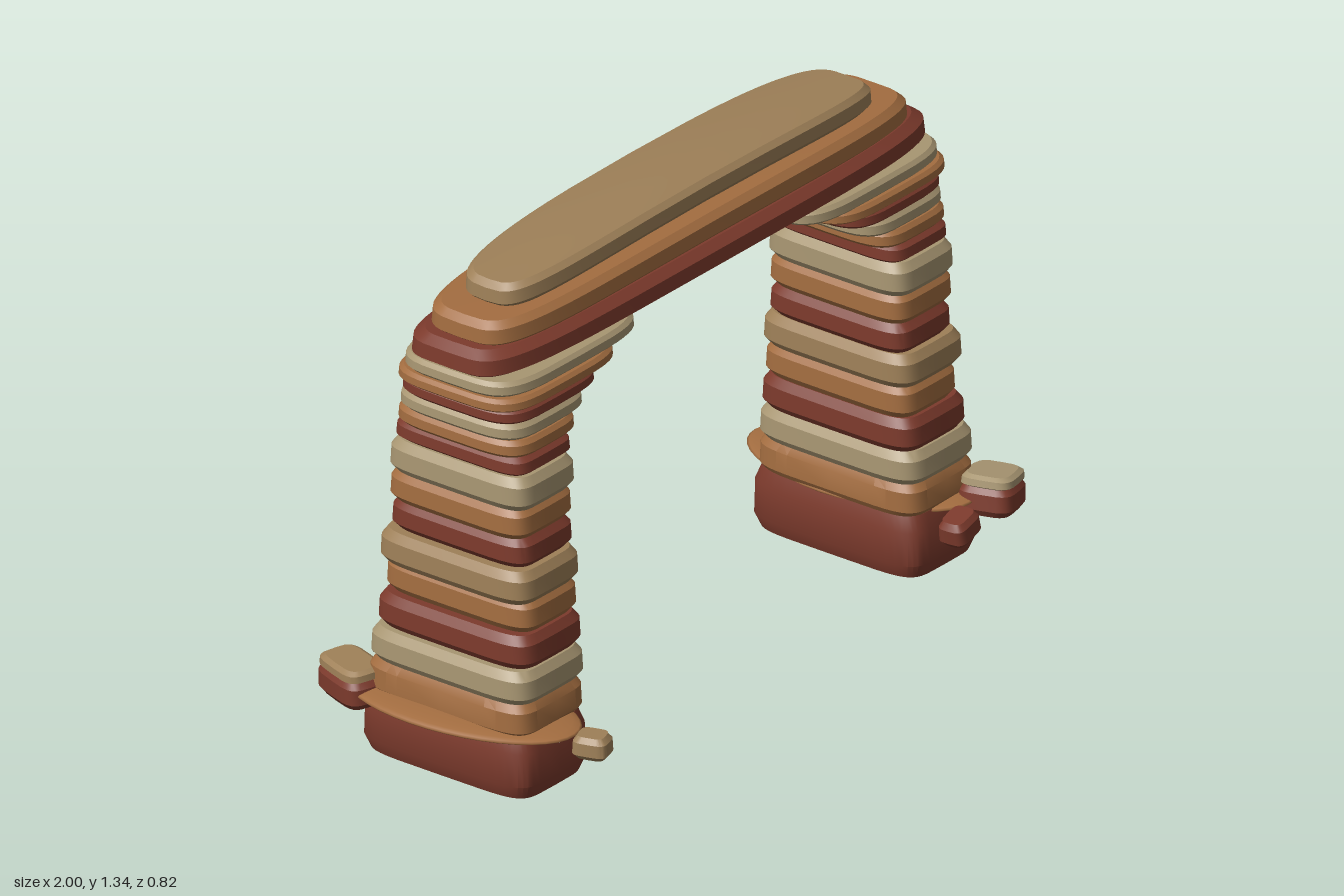
import * as THREE from 'three';
import { toCreasedNormals } from 'three/addons/utils/BufferGeometryUtils.js';

const RED = 0x7c3a2c, ORANGE = 0xa36d40, TAN = 0x9e8058, CREAM = 0xa89672;
const materials = {};
const material = (color) => (materials[color] ??= new THREE.MeshStandardMaterial({ color }));

// Worn slab: a lathe whose rings are reshaped into rounded rectangles.
// n sets how square the plan is, arch bends it along x, dish lifts its long edges.
function slab(name, color, [x0, x1], [y0, y1], [z0, z1], { n = 6, bevel = 0.015, arch = 0, dish = 0, sides = 40 } = {}) {
  const hx = (x1 - x0) / 2, hz = (z1 - z0) / 2, h = y1 - y0;
  // ring: share of half size, inset, share of height
  const rings = [[0, 0, 0], [0.5, 0, 0], [1, bevel, 0], [1, 0, 0.22], [1, bevel * 0.15, 0.75], [1, bevel * 1.2, 1],
    [0.75, 0, 1], [0.5, 0, 1], [0.25, 0, 1], [0, 0, 1]];
  const geometry = new THREE.LatheGeometry(rings.map(([r, , t]) => new THREE.Vector2(r, t)), sides);
  const p = geometry.attributes.position;
  const round = (v) => Math.sign(v) * Math.abs(v) ** (2 / n);
  for (let i = 0; i < p.count; i++) {
    const [r, inset, t] = rings[i % rings.length];
    const a = (Math.floor(i / rings.length) / sides) * Math.PI * 2;
    const x = round(Math.sin(a)) * (hx * r - inset);
    const z = round(Math.cos(a)) * (hz * r - inset);
    const lift = arch * (1 - (x / hx) ** 2) + dish * ((z / hz) ** 2 - 1);
    p.setXYZ(i, x, t * h + lift, z);
  }
  const mesh = new THREE.Mesh(toCreasedNormals(geometry, 0.5), material(color));
  mesh.position.set((x0 + x1) / 2, y0, (z0 + z1) / 2);
  mesh.name = name;
  return mesh;
}

// Boulder with an optional paler cap stone
function boulder(name, [x, y, z], [w, h, d], turn, tilt, color, capColor) {
  const group = new THREE.Group();
  group.name = name;
  const opts = { n: 4, bevel: 0.012, sides: 24 };
  group.add(slab('boulderBody', color, [-w / 2, w / 2], [0, h], [-d / 2, d / 2], opts));
  if (capColor) {
    group.add(slab('boulderCap', capColor, [-w * 0.47, w * 0.47], [h * 0.9, h * 1.32], [-d * 0.47, d * 0.47], opts));
  }
  group.position.set(x, y, z);
  group.rotation.set(0, turn, tilt);
  return group;
}

// Pillar strata: colour, bottom, top, outer x, inner x, back z, front z
const strata = [
  [RED, 0, 0.17, 0.935, 0.635, -0.29, 0.25],
  [ORANGE, 0.16, 0.26, 0.93, 0.64, -0.275, 0.24],
  [CREAM, 0.255, 0.345, 0.93, 0.635, -0.27, 0.24],
  [RED, 0.345, 0.435, 0.91, 0.635, -0.26, 0.23],
  [ORANGE, 0.435, 0.525, 0.885, 0.64, -0.25, 0.217],
  [TAN, 0.52, 0.61, 0.908, 0.635, -0.255, 0.222],
  [RED, 0.61, 0.69, 0.882, 0.64, -0.235, 0.202],
  [ORANGE, 0.69, 0.775, 0.89, 0.64, -0.235, 0.2],
  [CREAM, 0.77, 0.86, 0.89, 0.635, -0.236, 0.206],
  [RED, 0.86, 0.912, 0.88, 0.635, -0.224, 0.192],
  [ORANGE, 0.912, 0.957, 0.89, 0.6, -0.222, 0.19],
  [CREAM, 0.957, 1.0, 0.89, 0.555, -0.218, 0.183],
  [RED, 1.0, 1.04, 0.89, 0.5, -0.216, 0.182],
  [ORANGE, 1.04, 1.075, 0.91, 0.425, -0.22, 0.19],
  [CREAM, 1.075, 1.115, 0.9, 0.32, -0.21, 0.178],
];

export function createModel() {
  const model = new THREE.Group();
  model.name = 'layeredRockArch';

  // Two banded pillars whose top courses step inwards
  for (const side of [-1, 1]) {
    const pillar = new THREE.Group();
    pillar.name = side > 0 ? 'leftPillar' : 'rightPillar';
    strata.forEach(([color, y0, y1, outer, inner, z0, z1], i) => {
      const xs = side > 0 ? [inner, outer] : [-outer, -inner];
      const shoulder = i > 9;
      pillar.add(slab(`stratum${i + 1}`, color, xs, [y0, y1], [z0, z1],
        { n: shoulder ? 4.5 : 6, bevel: shoulder ? 0.009 : 0.014 }));
    });
    model.add(pillar);
  }

  // Bridging slabs
  model.add(slab('lowerLintel', RED, [-0.905, 0.895], [1.113, 1.187], [-0.207, 0.165], { n: 5, bevel: 0.025, sides: 64 }));
  model.add(slab('middleLintel', ORANGE, [-0.85, 0.84], [1.182, 1.252], [-0.188, 0.152],
    { n: 4.5, bevel: 0.018, arch: 0.012, dish: 0.008, sides: 64 }));
  model.add(slab('topLintel', TAN, [-0.75, 0.73], [1.255, 1.32], [-0.15, 0.117],
    { n: 4, bevel: 0.015, arch: 0.025, dish: 0.016, sides: 64 }));

  // Thin sand ledges around the pillar feet
  for (const [name, x, z, w, d, turn] of [
    ['rightLedge', -0.83, -0.02, 0.17, 0.335, 0.08],
    ['leftLedge', 0.82, -0.055, 0.175, 0.34, 0],
  ]) {
    const ledge = new THREE.Mesh(new THREE.SphereGeometry(1, 40, 16), material(ORANGE));
    ledge.name = name;
    ledge.scale.set(w, 0.022, d);
    ledge.position.set(x, 0.166, z);
    ledge.rotation.y = turn;
    model.add(ledge);
  }

  // Fallen stones
  model.add(boulder('frontLeftBoulder', [0.905, 0.122, 0.285], [0.155, 0.078, 0.15], 0.3, -0.12, RED, CREAM));
  model.add(boulder('frontLeftPebble', [0.725, 0.122, 0.33], [0.105, 0.07, 0.08], 0.1, 0.18, RED));
  model.add(boulder('frontRightPebble', [-0.795, 0.122, 0.36], [0.08, 0.062, 0.095], 0.3, 0, TAN));
  model.add(boulder('backRightBoulder', [-0.9, 0.125, -0.315], [0.125, 0.078, 0.185], -0.35, 0.05, RED, TAN));

  return model;
}
